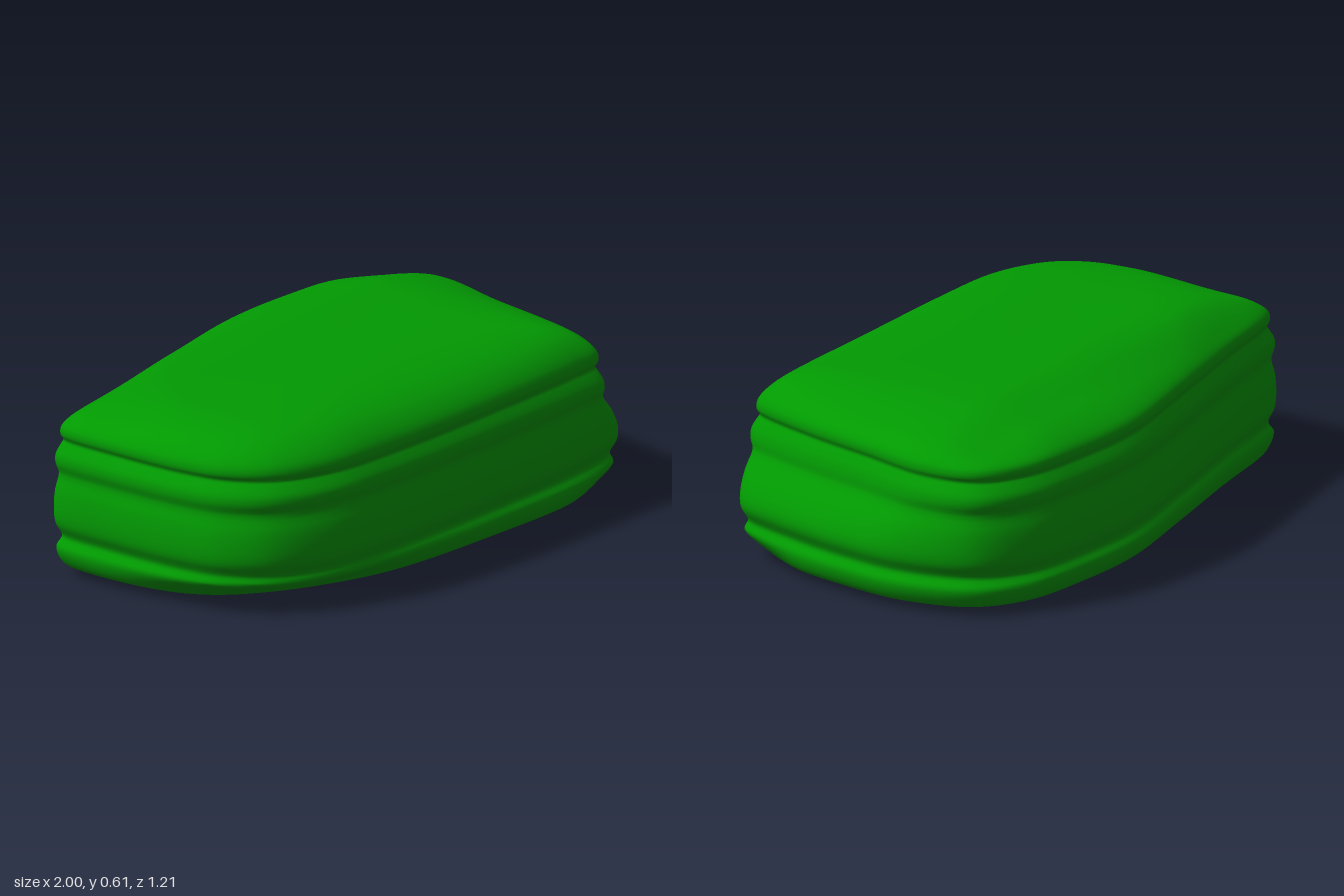
import * as THREE from 'three';

// Plan outlines [x, z], point for point: back-right corner, back, left end, front, right end
const MIDDLE = [
  [-0.975, -0.34], [-0.94, -0.365], [-0.6, -0.435], [-0.2, -0.525], [0.2, -0.605], [0.5, -0.605], [0.77, -0.565],
  [0.93, -0.45], [1, -0.2], [0.975, 0.05], [0.92, 0.28], [0.845, 0.5], [0.81, 0.53],
  [0.6, 0.57], [0.2, 0.59], [-0.35, 0.6], [-0.68, 0.575], [-0.88, 0.48], [-0.97, 0.35], [-1, 0.2], [-1, -0.1],
];
const reshape = (changes) => MIDDLE.map((p, i) => changes[i] ?? p);
// Higher up, the left end leans in to a crisp slanted edge
const UPPER = reshape({
  7: [0.93, -0.46], 8: [0.965, -0.27], 9: [0.9, 0], 10: [0.835, 0.26], 11: [0.745, 0.52], 12: [0.715, 0.555],
});
// At the base, the front-right corner is undercut and the front-left one chipped
const BASE = reshape({
  11: [0.82, 0.45], 12: [0.77, 0.5], 14: [0.2, 0.585], 15: [-0.35, 0.55], 16: [-0.65, 0.44], 17: [-0.81, 0.34],
  18: [-0.91, 0.24], 19: [-0.97, 0.12],
});

// Side profile [inset, height], from under the base over the grooves to the crown
const PROFILE = [
  [1, 0.004], [0.6, 0.004], [0.25, 0.008], [0.1, 0.02], [0.04, 0.032], [0.015, 0.065], [0.008, 0.1],
  [0.024, 0.125], [0.024, 0.14], [0.006, 0.175], [0, 0.22], [0.004, 0.29], [0.016, 0.345], [0.005, 0.38],
  [0.006, 0.41], [0.022, 0.44], [0.03, 0.455], [0.02, 0.475], [0.024, 0.505], [0.052, 0.54],
  [0.1, 0.572], [0.17, 0.594], [0.26, 0.606], [0.45, 0.613], [0.7, 0.611], [1, 0.609],
];

const { smoothstep } = THREE.MathUtils;
const closedCurve = (pts) =>
  new THREE.CatmullRomCurve3(pts.map(([x, z]) => new THREE.Vector3(x, 0, z)), true, 'centripetal');

function blockGeometry() {
  const cols = MIDDLE.length * 8, rows = (PROFILE.length - 1) * 3;
  const [base, middle, upper] = [BASE, MIDDLE, UPPER].map((outline) => {
    const curve = closedCurve(outline);
    return Array.from({ length: cols }, (_, i) => curve.getPoint(i / cols));
  });
  const side = new THREE.CatmullRomCurve3(
    PROFILE.map(([d, y]) => new THREE.Vector3(d, y, 0)), false, 'centripetal');
  const positions = [], index = [];
  for (let r = 0; r <= rows; r++) {
    const s = side.getPoint(r / rows);
    const undercut = 1 - smoothstep(s.y, 0.03, 0.125);
    const lean = smoothstep(s.y, 0.18, 0.42);
    const crown = smoothstep(s.y, 0.48, 0.6);
    for (let i = 0; i < cols; i++) {
      const p = middle[i].clone().lerp(base[i], undercut).lerp(upper[i], lean);
      // equal inset on the long and short sides, closing to a point at the centre
      const x = p.x * (1 - s.x);
      const z = p.z * (1 - Math.min(1, s.x * (1.6 - 0.6 * s.x)));
      // uneven crown that drops towards the back corners and the left end
      const wave = 0.006 * Math.sin(4 * x + 1.5) * Math.cos(5 * z);
      const drop = 0.025 * smoothstep(-z, 0.25, 0.45) + 0.02 * smoothstep(x, 0.55, 0.85)
        + 0.02 * smoothstep(-x - z, 0.75, 1.15);
      positions.push(x, s.y + (wave - drop) * crown, z);
      if (r < rows) {
        const a = r * cols + i, b = r * cols + (i + 1) % cols;
        index.push(a, a + cols, b, b, a + cols, b + cols);
      }
    }
  }
  const g = new THREE.BufferGeometry();
  g.setAttribute('position', new THREE.Float32BufferAttribute(positions, 3));
  g.setIndex(index);
  g.computeVertexNormals();
  return g;
}

export function createModel() {
  const group = new THREE.Group();
  group.name = 'stone';
  const block = new THREE.Mesh(blockGeometry(), new THREE.MeshStandardMaterial({ color: 0x029a02 }));
  block.name = 'groovedBlock';
  group.add(block);
  return group;
}
